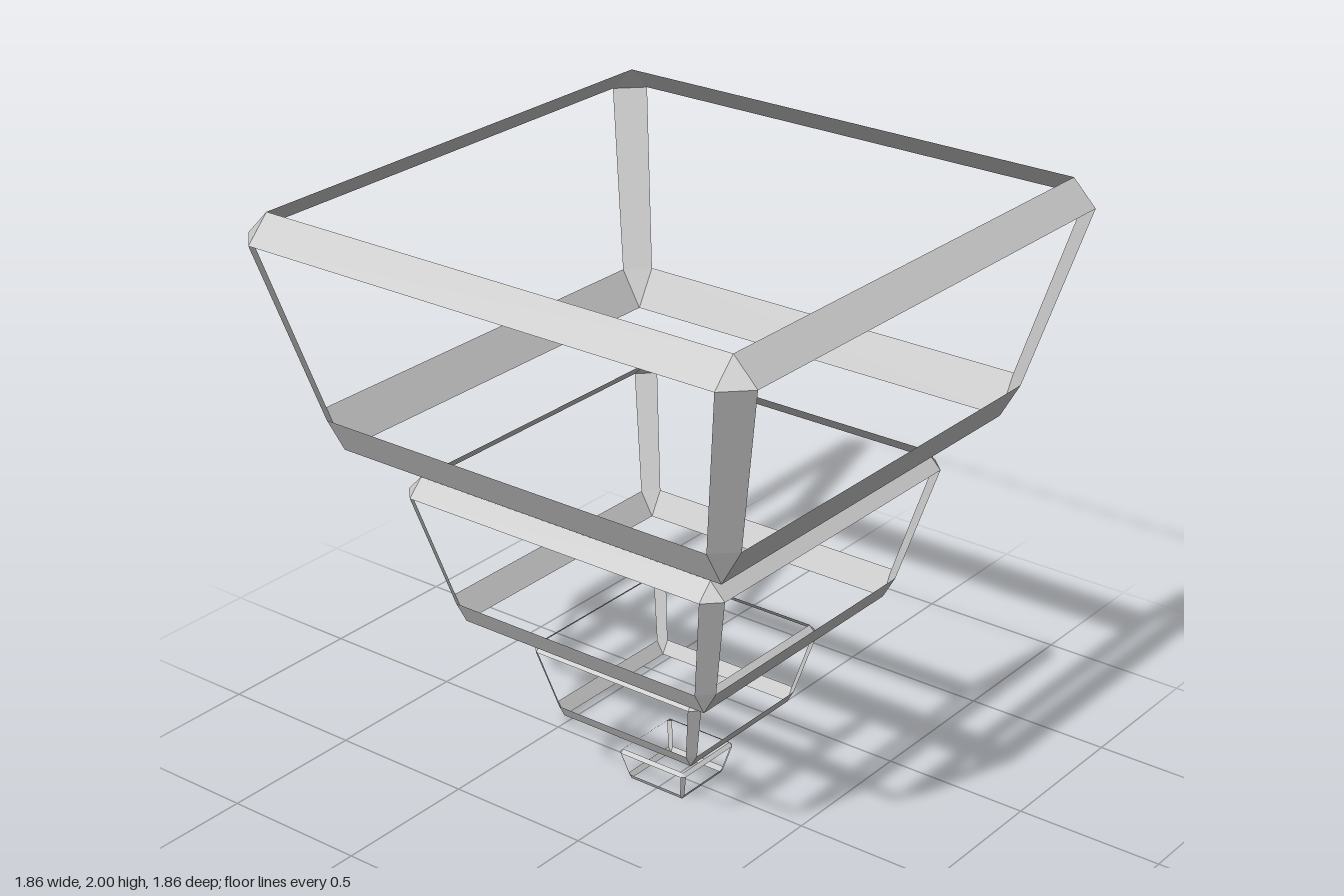
import * as THREE from 'three';

// Half-widths and heights of the largest frame, measured from its base
const TOP = { inner: 0.85, outer: 0.931, y: 0.775, edgeY: 0.693 };
const BASE = { inner: 0.716, outer: 0.785, y: 0, edgeY: 0.122 };

// One side strip or corner facet from a polygon of points, wound outwards
function addFacet(out, points) {
  const [a, b, c] = points;
  const normal = b.clone().sub(a).cross(c.clone().sub(a));
  const middle = points.reduce((sum, p) => sum.add(p), new THREE.Vector3()).divideScalar(points.length);
  middle.y -= 0.4;
  const ring = normal.dot(middle) < 0 ? [...points].reverse() : points;
  for (let i = 1; i < ring.length - 1; i++) {
    for (const p of [ring[0], ring[i], ring[i + 1]]) out.push(p.x, p.y, p.z);
  }
}

// Chamfered edges of a tapered box, with its six large faces left open
function frameGeometry() {
  const out = [];
  const up = new THREE.Vector3(0, 1, 0);
  for (let k = 0; k < 4; k++) {
    const at = (x, y, z) => new THREE.Vector3(x, y, z).applyAxisAngle(up, (k * Math.PI) / 2);
    for (const r of [TOP, BASE]) {
      // Horizontal strip along this side
      addFacet(out, [
        at(-r.inner, r.y, r.inner), at(r.inner, r.y, r.inner),
        at(r.inner, r.edgeY, r.outer), at(-r.inner, r.edgeY, r.outer),
      ]);
      // Corner triangle
      addFacet(out, [
        at(r.inner, r.y, r.inner), at(r.inner, r.edgeY, r.outer), at(r.outer, r.edgeY, r.inner),
      ]);
    }
    // Sloping corner post
    addFacet(out, [
      at(TOP.inner, TOP.edgeY, TOP.outer), at(TOP.outer, TOP.edgeY, TOP.inner),
      at(BASE.outer, BASE.edgeY, BASE.inner), at(BASE.inner, BASE.edgeY, BASE.outer),
    ]);
  }
  const geometry = new THREE.BufferGeometry();
  geometry.setAttribute('position', new THREE.Float32BufferAttribute(out, 3));
  geometry.computeVertexNormals();
  return geometry;
}

export function createModel() {
  const model = new THREE.Group();
  model.name = 'steppedFrames';
  const material = new THREE.MeshStandardMaterial({
    color: 0xcccccc, flatShading: true, side: THREE.DoubleSide,
  });
  const geometry = frameGeometry();

  // Four shrinking copies: name, scale, height of the base
  const tiers = [
    ['topFrame', 1, 1.225],
    ['upperMiddleFrame', 0.654, 0.613],
    ['lowerMiddleFrame', 0.356, 0.25],
    ['bottomFrame', 0.144, 0],
  ];
  for (const [name, scale, y] of tiers) {
    const frame = new THREE.Mesh(geometry, material);
    frame.name = name;
    frame.scale.setScalar(scale);
    frame.position.y = y;
    model.add(frame);
  }
  return model;
}
